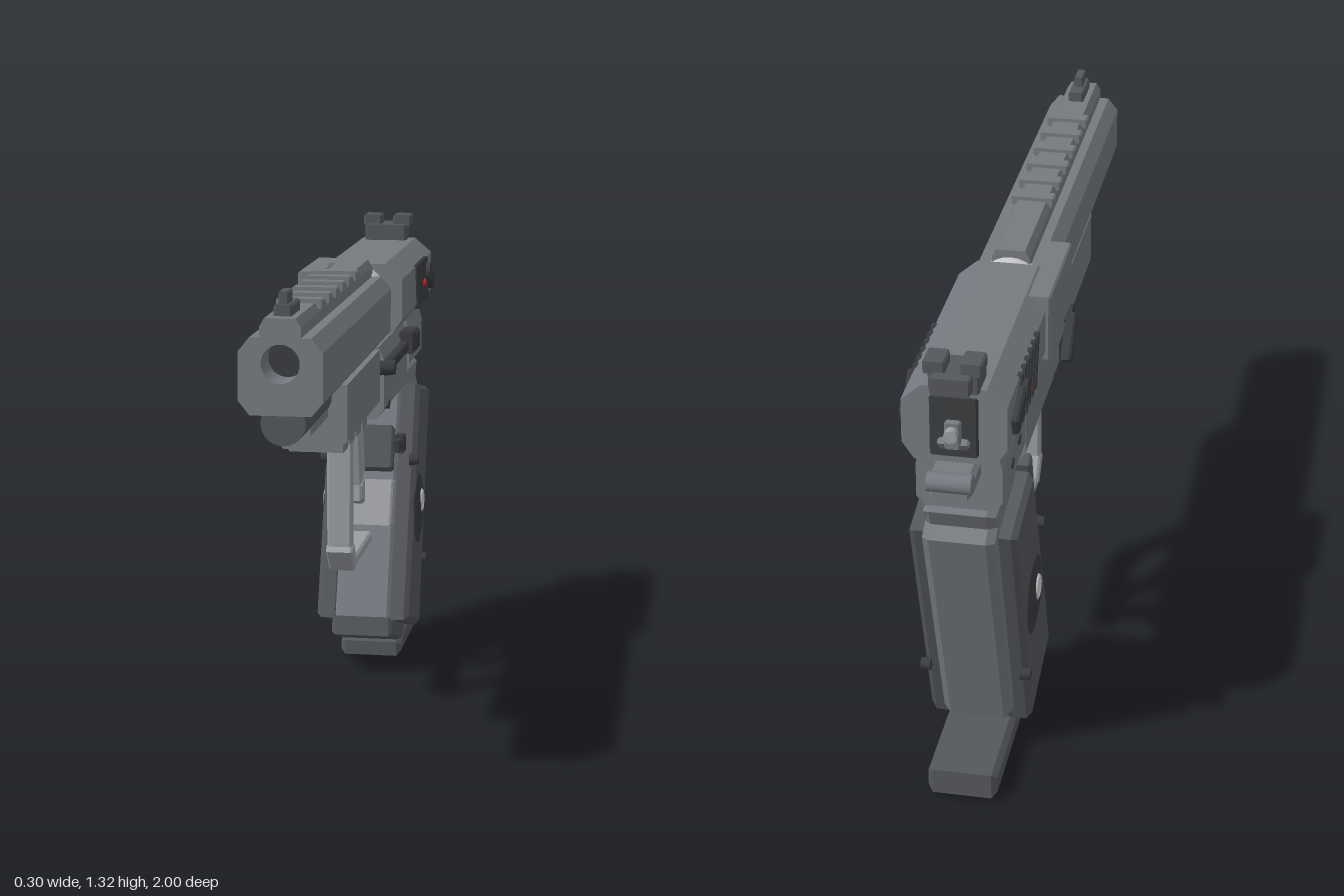
import * as THREE from 'three';

const paint = (color) => new THREE.MeshStandardMaterial({ color });

export function createModel() {
  const model = new THREE.Group();

  // Finishes: gunmetal unless the part is listed here
  const gunmetal = paint(0x767a80);
  const groups = [
    [0x3a3c3f, 'barrelCore serration safetyPivot safetyLever framePin slideStopPivot slideStopBar slideStopPad ' +
      'medallion gripScrew releaseButton releaseStem frameJoint slideRearPlate takedownPivot takedownLever basePlateStud'],
    [0x54575b, 'gripPanel gripEndCap basePlate frontSightBase frontSightBlade rearSightBase rearSightPost rearSightFoot ' +
      'guideTube upperFrontStrap'],
    [0x9a9da1, 'triggerBlade triggerTip guardFront guardElbow guardBottom hammerSpur lowerFrontStrap'],
    [0xc4c6c8, 'exposedBarrel medallionRing medallionCentre'],
    [0xd02020, 'safetyMark'],
    [0xd0c060, 'brassInsert'],
  ];
  const finishes = {};
  for (const [color, names] of groups) {
    const material = paint(color);
    for (const name of names.split(' ')) finishes[name] = material;
  }

  const add = (name, geometry) => {
    const mesh = new THREE.Mesh(geometry, finishes[name] ?? gunmetal);
    mesh.name = name;
    model.add(mesh);
  };
  const toShape = (pts) => new THREE.Shape(pts.map((p) => new THREE.Vector2(...p)));
  const mirrored = (half) => [...half, ...half.map(([x, y]) => [-x, y]).reverse()];

  // Cross-section in (x, y) swept along z; half outline runs bottom to top on +x
  const alongZ = (name, half, z0, z1, hole) => {
    const shape = toShape(mirrored(half));
    if (hole) shape.holes.push(new THREE.Path().absarc(0, hole.y, hole.r, 0, Math.PI * 2, true));
    const geo = new THREE.ExtrudeGeometry(shape, { depth: z1 - z0, bevelEnabled: false, curveSegments: 16 });
    add(name, geo.translate(0, 0, z0));
  };
  // Side outline in (z, y) given thickness from x0 to x1, with chamfered edges
  const acrossX = (name, pts, x0, x1, bevel = 0.006) => {
    const geo = new THREE.ExtrudeGeometry(toShape(pts), {
      depth: x1 - x0 - 2 * bevel, bevelSize: bevel,
      bevelThickness: bevel, bevelOffset: -bevel, bevelSegments: 1,
    });
    add(name, geo.rotateY(-Math.PI / 2).translate(x1 - bevel, 0, 0));
  };
  const bar = (name, x0, x1, y0, y1, z0, z1, bevel = 0.005) =>
    acrossX(name, [[z0, y0], [z1, y0], [z1, y1], [z0, y1]], x0, x1, bevel);
  const pin = (name, x0, x1, y, z, r, r2 = r) =>
    add(name, new THREE.CylinderGeometry(r2, r, Math.abs(x1 - x0), 24)
      .rotateZ(x1 > x0 ? -Math.PI / 2 : Math.PI / 2).translate((x0 + x1) / 2, y, z));
  const rod = (name, r, y, z0, z1) =>
    add(name, new THREE.CylinderGeometry(r, r, z1 - z0, 24).rotateX(Math.PI / 2).translate(0, y, (z0 + z1) / 2));

  // Front slide with open muzzle, and the raised rib along its top
  alongZ('frontSlide', [[0.075, 1.025], [0.103, 1.06], [0.103, 1.178], [0.075, 1.213]], -0.19, 1, { y: 1.15, r: 0.047 });
  alongZ('topRib', [[0.05, 1.21], [0.05, 1.24], [0.038, 1.26]], -0.19, 1);
  rod('barrelCore', 0.05, 1.15, -0.15, 0.9);
  rod('exposedBarrel', 0.085, 1.155, -0.24, -0.18);
  for (let i = 0; i < 6; i++) {
    const z = 0.705 - i * 0.112;
    bar('topRidge', -0.06, 0.06, 1.245, 1.27, z - 0.02, z + 0.02);
  }

  // Rear slide and ejection cover
  alongZ('rearSlide', [[0.1, 1.04], [0.13, 1.085], [0.13, 1.2], [0.08, 1.243]], -0.918, -0.23);
  bar('slideRearPlate', -0.06, 0.06, 1.06, 1.22, -0.925, -0.89);
  bar('ejectionCover', -0.142, -0.07, 1.06, 1.238, -0.4, -0.07);

  // Sights
  bar('frontSightBase', -0.022, 0.022, 1.255, 1.288, 0.845, 0.965);
  bar('frontSightBlade', -0.012, 0.012, 1.28, 1.318, 0.89, 0.955, 0.003);
  bar('rearSightBase', -0.065, 0.06, 1.235, 1.29, -0.93, -0.84);
  for (const x of [-0.073, 0.017]) bar('rearSightPost', x, x + 0.055, 1.285, 1.318, -0.935, -0.865);
  bar('rearSightFoot', -0.05, 0.05, 1.245, 1.29, -0.965, -0.92);

  // Hammer and tang at the back
  bar('hammer', -0.02, 0.02, 1.09, 1.16, -0.945, -0.9);
  rod('hammerSpur', 0.017, 1.135, -0.968, -0.93);
  acrossX('hammerFoot', [[-0.86, 1.03], [-0.89, 1.03], [-0.94, 1.1], [-0.91, 1.12], [-0.86, 1.12]].reverse(), -0.04, 0.04);
  bar('tang', -0.055, 0.055, 0.972, 1.025, -0.98, -0.86, 0.012);
  pin('tangEnd', -0.055, 0.055, 1.015, -0.975, 0.025);

  // Details on both sides of the slide and frame
  for (const s of [1, -1]) {
    const side = (a, b) => (s > 0 ? [a, b] : [-b, -a]);
    for (let i = 0; i < 6; i++) {
      const z = -0.525 - i * 0.043;
      acrossX('serration', [[z, 1.205], [z - 0.02, 1.205], [z - 0.058, 1.07], [z - 0.038, 1.07]].reverse(),
        ...side(0.122, 0.138), 0.002);
    }
    pin('safetyMark', s * 0.12, s * 0.143, 1.135, -0.683, 0.013, 0.011);
    pin('safetyPivot', s * 0.12, s * 0.15, 1.16, -0.745, 0.027);
    acrossX('safetyLever', [[-0.74, 1.145], [-0.855, 1.095], [-0.872, 1.14], [-0.755, 1.185]].reverse(), ...side(0.122, 0.148));
    pin('framePin', s * 0.085, s * 0.109, 0.86, -0.13, 0.014);
    pin('framePin', s * 0.09, s * 0.112, 0.967, -0.655, 0.014);
    pin('framePin', s * 0.09, s * 0.112, 0.95, -0.747, 0.014);
  }

  // Guide tube and front frame with accessory rail
  rod('guideTube', 0.055, 1.0, 0.5, 0.965);
  bar('guideRail', -0.045, 0.045, 0.942, 1.03, 0.5, 0.81);
  alongZ('frontFrame', [[0.072, 0.86], [0.095, 0.885], [0.095, 1.03]], -0.03, 0.565);
  bar('accessoryRail', -0.065, 0.065, 0.847, 0.87, 0.08, 0.51);
  for (let i = 0; i < 4; i++) {
    const z = 0.45 - i * 0.115;
    bar('railRidge', -0.075, 0.075, 0.836, 0.87, z - 0.028, z + 0.028);
  }

  // Middle and rear frame
  alongZ('middleFrame', [[0.085, 0.83], [0.105, 0.86], [0.105, 1.0], [0.09, 1.035]], -0.54, -0.04);
  bar('frameJoint', -0.085, 0.085, 0.88, 1.03, -0.58, -0.53);
  for (const y of [0.878, 0.942]) bar('brassInsert', -0.098, 0.098, y, y + 0.034, -0.57, -0.535, 0.003);
  alongZ('rearFrame', [[0.085, 0.88], [0.108, 0.905], [0.108, 1.0], [0.095, 1.045]], -0.87, -0.565);

  // Slide stop on the left, takedown lever on the right
  pin('slideStopPivot', 0.09, 0.135, 0.977, -0.055, 0.027, 0.02);
  bar('slideStopBar', 0.095, 0.128, 0.967, 0.998, -0.4, -0.08);
  bar('slideStopPad', 0.095, 0.15, 0.962, 1.027, -0.5, -0.395, 0.01);
  pin('takedownPivot', -0.085, -0.132, 0.982, 0.025, 0.03, 0.024);
  acrossX('takedownLever', [[0.045, 0.97], [0.005, 0.995], [-0.09, 0.895], [-0.055, 0.87]], -0.145, -0.115);

  // Grip core, end cap and side panels
  acrossX('gripCore', [[-0.34, 0.174], [-0.608, 0.872], [-0.65, 0.89], [-0.9, 0.88], [-0.875, 0.83],
    [-0.913, 0.807], [-0.683, 0.12], [-0.63, 0.105]], -0.092, 0.092, 0.02);
  acrossX('gripEndCap', [[-0.34, 0.18], [-0.328, 0.125], [-0.597, 0.04], [-0.64, 0.115]].reverse(), -0.09, 0.09, 0.01);
  for (const s of [1, -1]) {
    acrossX('gripPanel', [[-0.345, 0.172], [-0.6, 0.84], [-0.849, 0.79], [-0.625, 0.085]],
      s > 0 ? 0.07 : -0.137, s > 0 ? 0.137 : -0.07, 0.014);
    pin('medallion', s * 0.135, s * 0.148, 0.46, -0.586, 0.118, 0.04);
    add('medallionRing', new THREE.TorusGeometry(0.028, 0.008, 8, 24)
      .rotateY(Math.PI / 2).translate(s * 0.143, 0.485, -0.586));
    pin('medallionCentre', s * 0.13, s * 0.149, 0.485, -0.586, 0.022);
    pin('gripScrew', s * 0.12, s * 0.147, 0.628, -0.495, 0.018, 0.014);
    pin('gripScrew', s * 0.12, s * 0.147, 0.281, -0.694, 0.018, 0.014);
  }
  acrossX('lowerFrontStrap', [[-0.38, 0.45], [-0.435, 0.575], [-0.52, 0.56], [-0.47, 0.43]], -0.08, 0.08);
  acrossX('upperFrontStrap', [[-0.33, 0.635], [-0.37, 0.615], [-0.405, 0.74], [-0.363, 0.755]].reverse(), -0.09, 0.09);

  // Magazine base plate
  acrossX('basePlate', [[-0.52, 0.012], [-0.89, 0.012], [-0.89, 0.085], [-0.62, 0.085], [-0.52, 0.055]].reverse(), -0.092, 0.092, 0.014);
  add('basePlateStud', new THREE.CylinderGeometry(0.025, 0.025, 0.02, 16).translate(0, 0.01, -0.705));

  // Magazine release button
  bar('releaseStem', 0.1, 0.125, 0.695, 0.73, -0.3, -0.255);
  bar('releaseButton', 0.098, 0.13, 0.685, 0.737, -0.34, -0.298);

  // Trigger and its guard
  acrossX('triggerBlade', [[-0.095, 0.795], [-0.155, 0.805], [-0.2, 0.65], [-0.14, 0.62]], -0.03, 0.03, 0.008);
  acrossX('triggerTip', [[-0.2, 0.65], [-0.14, 0.62], [-0.135, 0.575], [-0.195, 0.555]].reverse(), -0.03, 0.03, 0.008);
  bar('guardFront', -0.035, 0.035, 0.475, 0.805, 0.055, 0.092, 0.006);
  acrossX('guardElbow', [[0.105, 0.48], [0.045, 0.415], [0.008, 0.435], [0.055, 0.5], [0.085, 0.5]].reverse(), -0.037, 0.037);
  bar('guardBottom', -0.035, 0.035, 0.418, 0.45, -0.297, 0.045, 0.006);

  return model;
}
